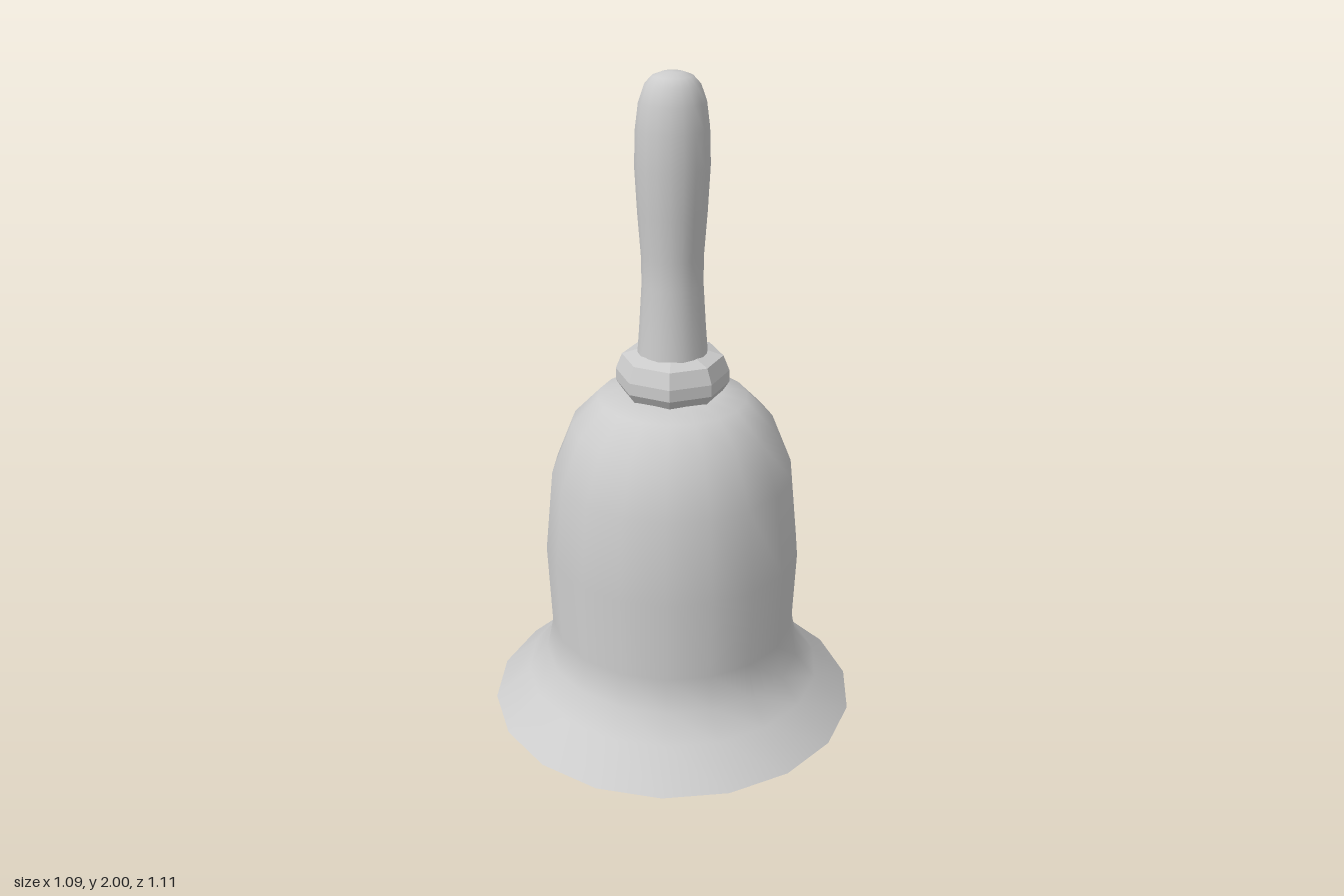
import * as THREE from 'three';

const smooth = new THREE.MeshStandardMaterial({ color: 0xcccccc });
const faceted = new THREE.MeshStandardMaterial({ color: 0xcccccc, flatShading: true });

// Turned part: the profile is [radius, height] pairs, rising for outward faces
function turned(name, profile, sides, material = smooth) {
  const points = profile.map(([r, y]) => new THREE.Vector2(r, y));
  const mesh = new THREE.Mesh(new THREE.LatheGeometry(points, sides), material);
  mesh.name = name;
  return mesh;
}

export function createModel() {
  const model = new THREE.Group();
  model.name = 'handBell';

  // Bell: outer wall, inner wall and flared underside, split at the sharp edges
  const bell = new THREE.Group();
  bell.name = 'bell';
  bell.add(
    turned('outerWall', [
      [0.555, 0.08], [0.45, 0.177], [0.39, 0.25], [0.37, 0.35], [0.38, 0.6],
      [0.355, 0.85], [0.295, 1.0], [0.217, 1.08], [0.13, 1.1], [0, 1.1],
    ], 18),
    turned('innerWall', [
      [0, 1.06], [0.13, 1.05], [0.2, 1.03], [0.27, 0.96], [0.325, 0.83],
      [0.35, 0.6], [0.35, 0.35], [0.37, 0.14],
    ], 18),
    turned('lipUnderside', [[0.37, 0.14], [0.555, 0.08]], 18),
  );
  model.add(bell);

  // Clapper hanging inside the bell
  const clapper = new THREE.Group();
  clapper.name = 'clapper';
  const ball = new THREE.Mesh(new THREE.SphereGeometry(0.135, 10, 10), smooth);
  ball.name = 'clapperBall';
  ball.position.y = 0.14;
  ball.scale.y = 0.14 / 0.135;
  clapper.add(ball, turned('clapperRod', [[0.05, 0.22], [0.05, 1.06]], 8, faceted));
  model.add(clapper);

  // Eight-sided collar between bell and handle
  model.add(turned('collar', [
    [0, 1.09], [0.14, 1.09], [0.163, 1.125], [0.163, 1.16], [0.145, 1.205], [0.1, 1.22], [0, 1.22],
  ], 8, faceted));

  // Handle with a slim waist and rounded end
  model.add(turned('handle', [
    [0.102, 1.2], [0.095, 1.29], [0.087, 1.42], [0.088, 1.5], [0.097, 1.62], [0.104, 1.75],
    [0.101, 1.85], [0.092, 1.92], [0.076, 1.965], [0.055, 1.988], [0.028, 1.998], [0, 2.0],
  ], 18));

  return model;
}
